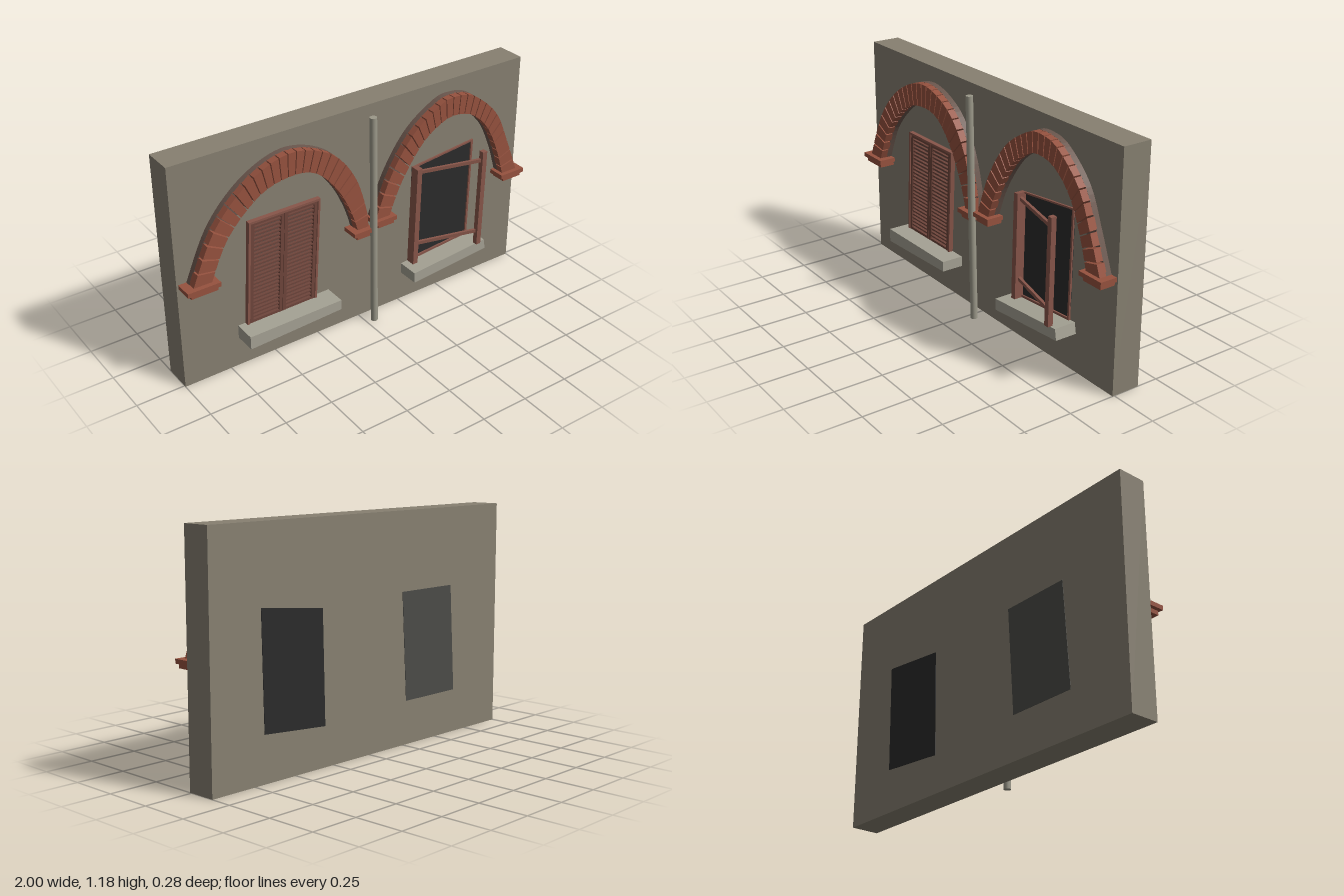
import * as THREE from 'three';

const mat = (name, color) => {
  const m = new THREE.MeshStandardMaterial({ color });
  m.name = name;
  return m;
};

export function createModel() {
  const plaster = mat('plaster', 0x878071);
  const brick = mat('brick', 0x96523f);
  const mortar = mat('mortar', 0x6a564d);
  const wood = mat('red wood', 0x88564a);
  const louvre = mat('louvre wood', 0x6e453b);
  const stone = mat('sill stone', 0xa5a294);
  const glass = mat('dark opening', 0x2b2b2b);
  const greyPane = mat('grey pane', 0x4c4c48);
  const metal = mat('pipe metal', 0x9c998a);

  const model = new THREE.Group();
  model.name = 'wallWithArchedWindows';
  const WALL_Z = 0.01;

  const add = (parent, name, geometry, material) => {
    const mesh = new THREE.Mesh(geometry, material);
    mesh.name = name;
    parent.add(mesh);
    return mesh;
  };
  const group = (name) => {
    const g = new THREE.Group();
    g.name = name;
    model.add(g);
    return g;
  };
  // Solid between z0 and z1 with any outline in the xy plane
  const slab = (parent, name, points, z0, z1, material) => {
    const shape = new THREE.Shape(points.map(([x, y]) => new THREE.Vector2(x, y)));
    const geo = new THREE.ExtrudeGeometry(shape, { depth: z1 - z0, bevelEnabled: false });
    geo.translate(0, 0, z0);
    return add(parent, name, geo, material);
  };
  const rect = (x0, x1, y0, y1) => [[x0, y0], [x1, y0], [x1, y1], [x0, y1]];
  // Rectangle in the 0..1 space of a crooked quad (corners: BL, BR, TR, TL)
  const inQuad = (q, u0, u1, v0, v1) => rect(u0, u1, v0, v1).map(([u, v]) => [0, 1].map((k) =>
    (1 - v) * ((1 - u) * q[0][k] + u * q[1][k]) + v * ((1 - u) * q[3][k] + u * q[2][k])));

  // Wall
  slab(model, 'wall', rect(-1, 1, 0, 1.18), -0.14, WALL_Z, plaster);

  // Brick arches: wedge bricks between an outer and an inner curve, on a mortar ring
  const curve = (pts) => new THREE.SplineCurve(pts.map(([x, y]) => new THREE.Vector2(x, y)));
  const arch = (name, outerPts, innerPts, count) => {
    const g = group(name);
    const outer = curve(outerPts);
    const inner = curve(innerPts);
    const at = (c, t) => c.getPointAt(THREE.MathUtils.clamp(t + 0.035 * Math.sin(2 * Math.PI * t), 0, 1)).toArray();
    const ring = [];
    for (let i = 0; i <= 48; i++) ring.push(at(outer, i / 48));
    for (let i = 48; i >= 0; i--) ring.push(at(inner, i / 48));
    slab(g, 'mortarRing', ring, WALL_Z, 0.04, mortar);
    const gap = 0.06;
    for (let i = 0; i < count; i++) {
      const a = (i + gap) / count;
      const b = (i + 1 - gap) / count;
      slab(g, 'archBrick', [at(outer, a), at(outer, b), at(inner, b), at(inner, a)], 0.035, 0.077, brick);
    }
  };
  arch('rightArch',
    [[-0.95, 0.575], [-0.825, 0.837], [-0.64, 1.02], [-0.42, 1.1], [-0.205, 1.03], [-0.07, 0.87], [0, 0.665], [0.012, 0.56]],
    [[-0.855, 0.575], [-0.755, 0.78], [-0.58, 0.94], [-0.41, 0.982], [-0.28, 0.95], [-0.165, 0.825], [-0.09, 0.68], [-0.05, 0.56]], 26);
  arch('leftArch',
    [[0.055, 0.58], [0.145, 0.8], [0.275, 0.985], [0.435, 1.095], [0.53, 1.115], [0.65, 1.085], [0.8, 0.95], [0.885, 0.77], [0.96, 0.58]],
    [[0.135, 0.57], [0.21, 0.745], [0.33, 0.915], [0.445, 0.995], [0.53, 1.015], [0.64, 0.985], [0.745, 0.885], [0.82, 0.73], [0.87, 0.57]], 26);

  // Stepped imposts under the arch feet: x0, x1, top
  for (const [x0, x1, top] of [[-0.99, -0.82, 0.577], [-0.083, 0.025, 0.56], [0.043, 0.168, 0.583], [0.845, 0.993, 0.585]]) {
    const g = group('impost');
    slab(g, 'impostTop', rect(x0, x1, top - 0.022, top), 0, 0.1, brick);
    slab(g, 'impostBase', rect(x0 + 0.02, x1 - 0.012, top - 0.043, top - 0.022), 0, 0.09, brick);
  }

  // Closed window with two louvred shutters
  const closed = group('closedWindow');
  const cq = [[-0.66, 0.225], [-0.267, 0.225], [-0.234, 0.785], [-0.625, 0.785]];
  slab(closed, 'greyPane', inQuad(cq, 0.03, 0.99, 0, 0.99), -0.142, 0.012, greyPane);
  const cbar = (name, u0, u1, v0, v1, z, m) => slab(closed, name, inQuad(cq, u0, u1, v0, v1), WALL_Z, z, m);
  cbar('frameSide', 0, 0.03, 0, 1, 0.034, wood);
  cbar('frameSide', 0.97, 1, 0, 1, 0.034, wood);
  cbar('frameTop', 0.03, 0.97, 0.98, 1, 0.034, wood);
  for (const u of [0.035, 0.503]) {
    cbar('shutterStile', u, u + 0.045, 0.01, 0.98, 0.03, louvre);
    cbar('shutterStile', u + 0.417, u + 0.462, 0.01, 0.98, 0.03, louvre);
    cbar('shutterRail', u + 0.045, u + 0.417, 0.01, 0.035, 0.029, louvre);
    cbar('shutterRail', u + 0.045, u + 0.417, 0.955, 0.98, 0.029, louvre);
    for (let i = 0; i < 25; i++) {
      const v = 0.055 + i * 0.0362;
      cbar('louvreSlat', u + 0.045, u + 0.417, v, v + 0.014, 0.027, louvre);
    }
  }

  // Open window with a swung-out leaf
  const open = group('openWindow');
  const oq = [[0.308, 0.2], [0.692, 0.23], [0.705, 0.807], [0.322, 0.765]];
  slab(open, 'darkOpening', inQuad(oq, 0, 1, 0, 0.99), -0.142, 0.012, glass);
  const obar = (name, u0, u1, v0, v1, z) => slab(open, name, inQuad(oq, u0, u1, v0, v1), WALL_Z, z, wood);
  obar('frameTop', 0, 1, 0.985, 1, 0.02);
  obar('frameBottom', 0, 1, 0.02, 0.055, 0.02);
  obar('frameSide', 0.97, 1, 0, 1, 0.02);
  obar('hingePost', 0, 0.075, 0, 1, 0.06);
  slab(open, 'leafPost', [[0.663, 0.25], [0.69, 0.25], [0.7, 0.79], [0.673, 0.79]], 0.11, 0.138, wood);
  for (const y of [0.327, 0.74]) {
    const a = new THREE.Vector3(0.33, y, 0.035);
    const b = new THREE.Vector3(0.672, y, 0.12);
    const rail = add(open, 'leafRail', new THREE.BoxGeometry(0.014, 0.018, a.distanceTo(b)), wood);
    rail.position.copy(a).lerp(b, 0.5);
    rail.lookAt(b);
  }

  // Crooked stone sills
  slab(model, 'rightSill', [[-0.7, 0.16], [-0.183, 0.18], [-0.183, 0.233], [-0.7, 0.23]], WALL_Z, 0.125, stone);
  slab(model, 'leftSill', [[0.27, 0.157], [0.735, 0.197], [0.725, 0.253], [0.268, 0.215]], WALL_Z, 0.125, stone);

  // Leaning drainpipe
  const foot = new THREE.Vector3(0.042, 0.005, 0.091);
  const head = new THREE.Vector3(0.02, 1.16, 0.099);
  const pipe = add(model, 'drainpipe', new THREE.CylinderGeometry(0.018, 0.018, foot.distanceTo(head), 12), metal);
  pipe.position.copy(foot).lerp(head, 0.5);
  pipe.quaternion.setFromUnitVectors(new THREE.Vector3(0, 1, 0), head.clone().sub(foot).normalize());

  return model;
}
